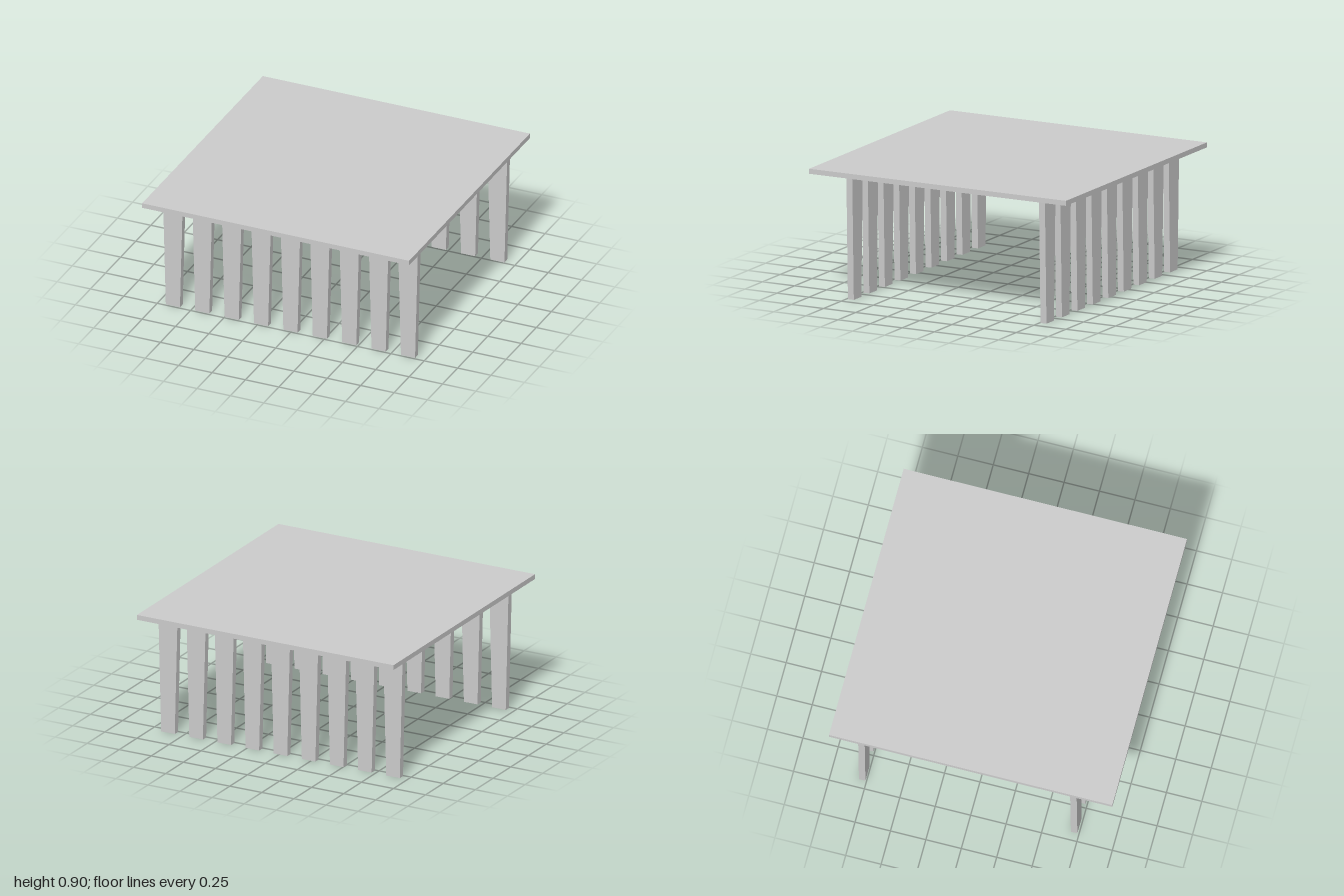
import * as THREE from 'three';

const material = new THREE.MeshStandardMaterial({ color: 0xcccccc, flatShading: true });

const LEG_HEIGHT = 0.865;
const LEG_DEPTH = 0.046;
const LEG_COUNT = 9;

// Flat board leg, narrowing towards the floor
function taperedLeg() {
  const top = 0.075, foot = 0.053;
  const outline = new THREE.Shape([
    new THREE.Vector2(-foot, 0),
    new THREE.Vector2(foot, 0),
    new THREE.Vector2(top, LEG_HEIGHT),
    new THREE.Vector2(-top, LEG_HEIGHT),
  ]);
  return new THREE.ExtrudeGeometry(outline, { depth: LEG_DEPTH, bevelEnabled: false })
    .translate(0, 0, -LEG_DEPTH / 2);
}

// Evenly spaced row of legs running along x
function legRow(name, geometry, firstX, lastX, z) {
  const row = new THREE.Group();
  row.name = name;
  for (let i = 0; i < LEG_COUNT; i++) {
    const leg = new THREE.Mesh(geometry, material);
    leg.name = `${name}Leg${i + 1}`;
    leg.position.set(THREE.MathUtils.lerp(firstX, lastX, i / (LEG_COUNT - 1)), 0, z);
    row.add(leg);
  }
  return row;
}

export function createModel() {
  const table = new THREE.Group();
  table.name = 'table';

  // Square top
  const top = new THREE.Mesh(new THREE.BoxGeometry(2, 0.035, 2), material);
  top.name = 'tableTop';
  top.position.y = LEG_HEIGHT + 0.0175;
  table.add(top);

  // Front and back legs
  const leg = taperedLeg();
  table.add(legRow('frontRow', leg, -0.888, 0.873, 0.715));
  table.add(legRow('backRow', leg, -0.888, 0.866, -0.781));

  return table;
}
